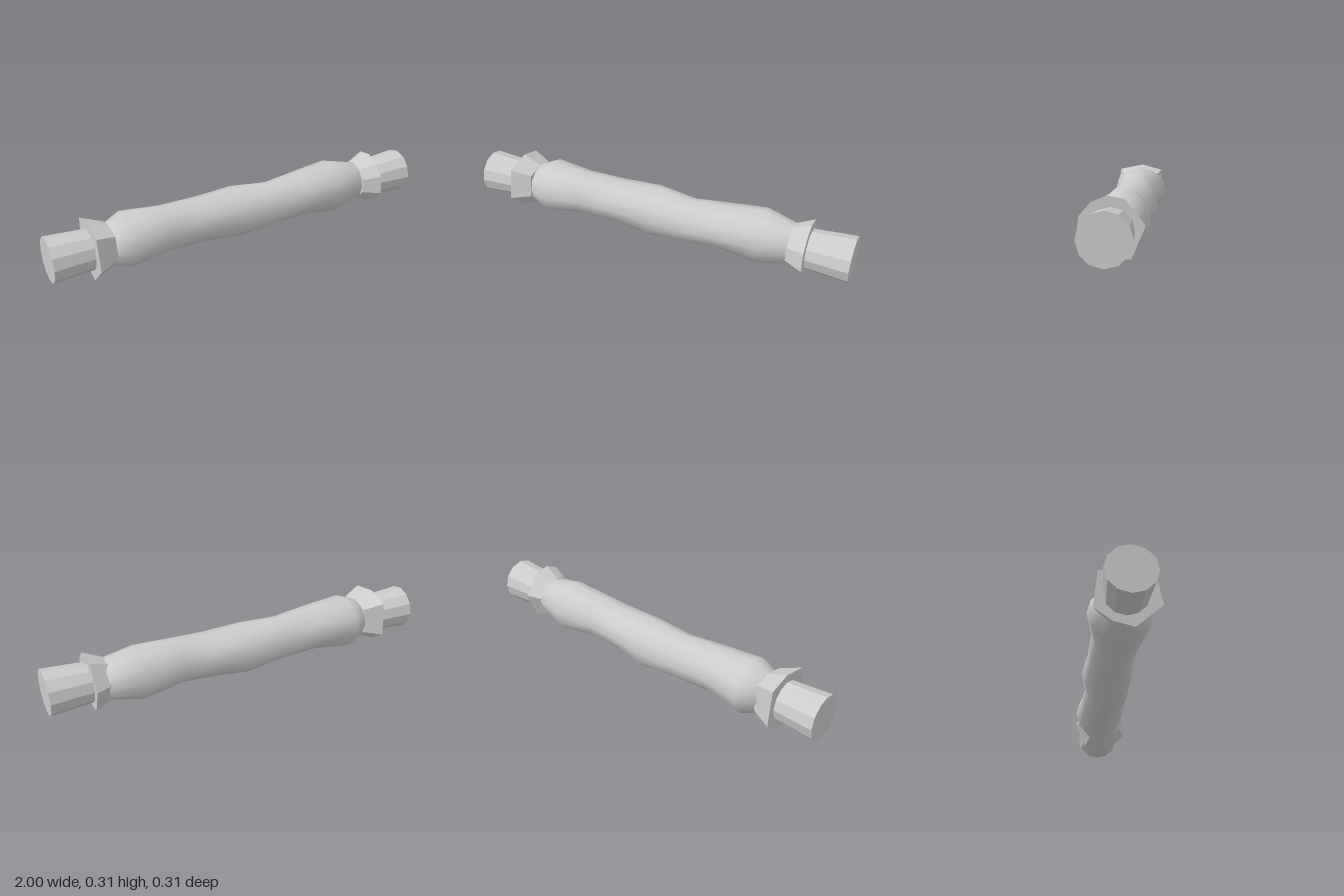
import * as THREE from 'three';

// Skin a list of equal-length rings running along +x; each ring turns from +y to +z.
function loft(rings, caps) {
  const n = rings[0].length, pos = rings.flat(2), idx = [];
  for (let i = 0; i < rings.length - 1; i++) {
    for (let j = 0; j < n; j++) {
      const a = i * n + j, b = i * n + (j + 1) % n;
      idx.push(a, b, a + n, b, b + n, a + n);
    }
  }
  if (caps) {
    const last = (rings.length - 1) * n;
    for (let j = 1; j < n - 1; j++) {
      idx.push(0, j + 1, j);
      idx.push(last, last + j, last + j + 1);
    }
  }
  const g = new THREE.BufferGeometry();
  g.setAttribute('position', new THREE.Float32BufferAttribute(pos, 3));
  g.setIndex(idx);
  return g;
}

// Elliptical ring from its vertical and depth extents.
function ring(x, y0, y1, z0, z1, sides, wobble = () => 1) {
  return Array.from({ length: sides }, (_, j) => {
    const a = (j / sides) * Math.PI * 2, k = wobble(j);
    return [x, (y0 + y1) / 2 + Math.cos(a) * k * (y1 - y0) / 2,
      (z0 + z1) / 2 + Math.sin(a) * k * (z1 - z0) / 2];
  });
}

function faceted(geometry) {
  const g = geometry.toNonIndexed();
  g.computeVertexNormals();
  return g;
}

export function createModel() {
  const group = new THREE.Group();
  const grey = new THREE.MeshStandardMaterial({ color: 0xcccccc });
  grey.name = 'light grey';
  const add = (name, geometry) => {
    const mesh = new THREE.Mesh(geometry, grey);
    mesh.name = name;
    group.add(mesh);
  };

  // Lumpy, smooth body: x, bottom, top, back, front
  const stations = [
    [-0.70, 0.08, 0.23, -0.07, 0.07],
    [-0.72, 0.055, 0.25, -0.095, 0.09],
    [-0.62, 0.02, 0.297, -0.158, 0.139],
    [-0.42, 0.043, 0.28, -0.123, 0.112],
    [-0.22, 0.038, 0.27, -0.128, 0.1],
    [-0.02, 0.02, 0.284, -0.144, 0.115],
    [0.18, 0.038, 0.268, -0.118, 0.115],
    [0.34, 0.048, 0.28, -0.123, 0.115],
    [0.55, 0.02, 0.302, -0.144, 0.12],
    [0.72, 0.062, 0.264, -0.103, 0.095],
    [0.70, 0.09, 0.24, -0.07, 0.07],
  ];
  const body = loft(stations.map((s, i) => ring(...s, 12,
    (j) => (j % 3 ? 0.98 + 0.03 * Math.sin(j * 2.3 + i * 1.9) : 1))));
  body.computeVertexNormals();
  add('body', body);

  // Twelve-sided end shafts, slightly wider at the tips
  add('leftShaft', faceted(loft([
    ring(0.68, 0.07, 0.252, -0.087, 0.095, 12),
    ring(1, 0.049, 0.277, -0.107, 0.121, 12)], true)));
  add('rightShaft', faceted(loft([
    ring(-1, 0.04, 0.265, -0.115, 0.11, 12),
    ring(-0.68, 0.062, 0.245, -0.093, 0.089, 12)], true)));

  // Irregular flared collars: rim corners as [z, y]
  const collar = (name, rim, xRim, xNeck) => {
    const cz = 0, cy = 0.16, k = 0.72;
    const outer = rim.map(([z, y]) => [xRim, y, z]);
    const neck = rim.map(([z, y]) => [xNeck, cy + (y - cy) * k, cz + (z - cz) * k]);
    add(name, faceted(loft(xRim > xNeck ? [neck, outer] : [outer, neck], true)));
  };
  collar('leftCollar', [[0.023, 0.307], [0.088, 0.28], [0.139, 0.22], [0.15, 0.125],
    [0.109, 0.08], [0.036, 0.036], [-0.08, 0.045], [-0.138, 0.184], [-0.052, 0.295]], 0.79, 0.7);
  collar('rightCollar', [[-0.01, 0.295], [0.123, 0.268], [0.155, 0.1125], [0.036, 0.002],
    [-0.06, 0.026], [-0.141, 0.086], [-0.123, 0.264]], -0.8, -0.7);
  return group;
}
